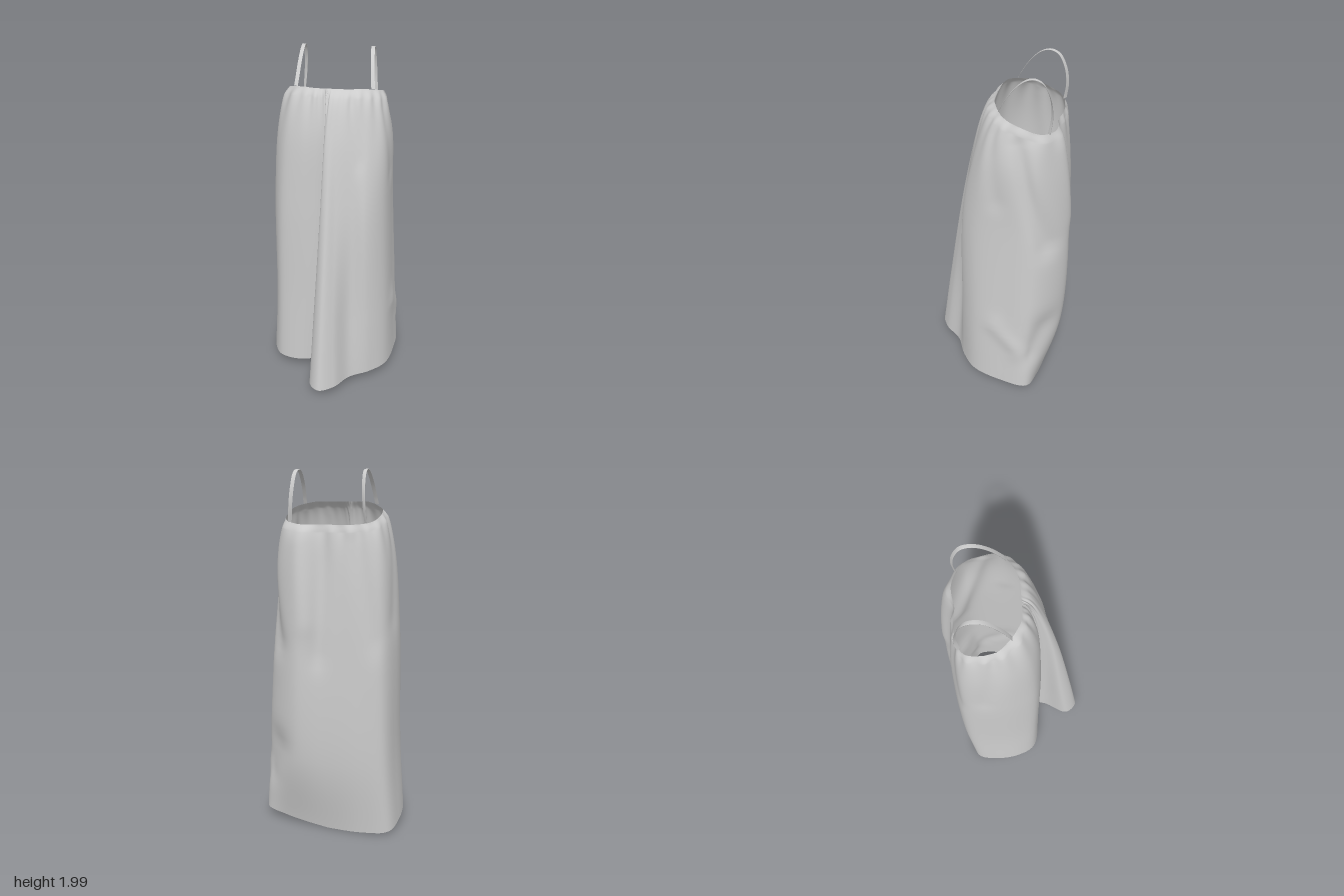
import * as THREE from 'three';

const COLS = 266, ROWS = 70;
const clamp = THREE.MathUtils.clamp, lerp = THREE.MathUtils.lerp;
const material = new THREE.MeshStandardMaterial({ color: 0xcccccc, side: THREE.DoubleSide });

// Cross-sections as x, z pairs: front pleat, left side, back, right side, front panel.
const neck = [-.04, .02, -.03, .02, -.015, .02, .005, .02, .04, .02, .1, .015, .18, -.02, .24, -.07, .26, -.15, .24, -.25,
  .15, -.308, 0, -.308, -.13, -.308, -.23, -.27, -.26, -.17, -.25, -.1, -.19, -.03, -.13, .01, -.08, .02];
const chest = [-.025, .08, -.03, .095, -.03, .12, -.005, .13, .03, .128, .1, .115, .2, .08, .285, .01, .315, -.13, .29, -.26,
  .15, -.37, 0, -.345, -.15, -.345, -.28, -.3, -.322, -.17, -.312, -.05, -.25, .045, -.16, .09, -.08, .095];
const waist = [-.025, .1, -.035, .15, -.045, .2, -.01, .225, .04, .205, .12, .175, .2, .168, .29, .075, .325, -.1, .31, -.27,
  .15, -.405, 0, -.38, -.17, -.362, -.3, -.32, -.35, -.18, -.342, -.03, -.285, .08, -.18, .118, -.09, .115];
const knee = [-.02, .085, -.025, .18, -.08, .285, -.03, .345, .04, .31, .12, .22, .23, .185, .325, .085, .36, -.09, .355, -.265,
  .18, -.39, 0, -.383, -.2, -.362, -.325, -.315, -.362, -.18, -.357, -.02, -.31, .09, -.19, .125, -.09, .115];
const hem = [-.015, .09, -.025, .19, -.1, .34, -.04, .41, .05, .365, .13, .26, .25, .185, .34, .09, .383, -.08, .382, -.25,
  .25, -.29, 0, -.31, -.2, -.32, -.35, -.29, -.388, -.17, -.38, -.01, -.325, .095, -.2, .13, -.09, .105];
// Rounded shoulder of the gathered edge, between neck and chest
const rim = neck.map((v, i) => lerp(v, chest[i], 0.4));
const levels = [[neck, 0], [rim, .024], [chest, .125], [waist, .36], [knee, .76], [hem, 1]];

// Soft folds: start (u, s), end (u, s), width, depth; u runs round, s runs down.
const folds = [
  [.43, .05, .49, .38, .018, -.022],
  [.575, .03, .57, .4, .016, -.012],
  [.53, .06, .545, .3, .02, .01],
  [.64, .05, .67, .35, .02, -.01],
  [.37, .05, .4, .25, .015, -.008],
  [.495, .74, .48, .84, .022, -.025],
  [.455, .84, .41, .76, .018, .012],
  [.75, .06, .73, .3, .02, -.008],
  [.27, .04, .29, .2, .015, -.008],
];

const neckY = z => 1.83 - 0.11 * clamp(-z / 0.31, 0, 1);
const hemY = (x, z) => lerp(0.083 + 0.04 * Math.max(z, 0), 0.01 + 0.1 * x * x + 0.11 * Math.max(x, 0), clamp(-z / 0.31, 0, 1));

// Skin over rows of points, each row a closed loop
function loft(rows) {
  const n = rows[0].length, index = [];
  for (let r = 0; r < rows.length - 1; r++) for (let c = 0; c < n; c++) {
    const a = r * n + c, d = r * n + (c + 1) % n;
    index.push(a, a + n, d, d, a + n, d + n);
  }
  const g = new THREE.BufferGeometry().setFromPoints(rows.flat());
  g.setIndex(index);
  g.computeVertexNormals();
  return g;
}

// Height of the gathers and folds at a point on the cloth
function relief(u, s) {
  const a = u * Math.PI * 2;
  const pleats = Math.sin(23 * a + 2 * Math.sin(3 * a)) + 0.7 * Math.sin(14 * a + 1.5 * Math.sin(5 * a) + 1);
  let h = 0.0075 * pleats * Math.exp(-s / 0.05) * Math.min(1, 0.1 + s / 0.025);
  for (const [u0, s0, u1, s1, w, depth] of folds) {
    const du = u1 - u0, ds = s1 - s0;
    const t = clamp(((u - u0) * du + (s - s0) * ds) / (du * du + ds * ds), 0, 1);
    const dx = (u - u0 - t * du) / w, dy = (s - s0 - t * ds) / (w * 2.5);
    h += depth * Math.exp(-dx * dx - dy * dy);
  }
  return h;
}

function makeDress() {
  const loops = levels.map(([p]) => {
    const pts = [];
    for (let i = 0; i < p.length; i += 2) pts.push(new THREE.Vector3(p[i], 0, p[i + 1]));
    return new THREE.CatmullRomCurve3(pts, true);
  });
  const rows = Array.from({ length: ROWS + 1 }, () => []), reliefs = [];
  for (let c = 0; c < COLS; c++) {
    const pts = loops.map(l => l.getPoint(c / COLS));
    const top = neckY(pts[0].z), low = hemY(pts[5].x, pts[5].z);
    pts.forEach((p, i) => { p.y = lerp(top, low, levels[i][1]); });
    const line = new THREE.CatmullRomCurve3(pts);
    for (let r = 0; r <= ROWS; r++) {
      const p = line.getPoint(r / ROWS);
      rows[r].push(p);
      reliefs[r * COLS + c] = relief(c / COLS, (top - p.y) / (top - low));
    }
  }
  // Push the cloth along its normals to form the folds
  const g = loft(rows), pos = g.attributes.position, nor = g.attributes.normal;
  for (let i = 0; i < pos.count; i++) {
    const h = reliefs[i];
    pos.setXYZ(i, pos.getX(i) + nor.getX(i) * h, pos.getY(i) + nor.getY(i) * h * 0.3, pos.getZ(i) + nor.getZ(i) * h);
  }
  g.computeVertexNormals();
  const mesh = new THREE.Mesh(g, material);
  mesh.name = 'dress';
  return mesh;
}

// Thin ribbon arching from the front edge to the back edge, twisting slightly
function makeStrap(side) {
  const path = new THREE.CatmullRomCurve3([
    [.205, 1.82, -.035], [.2, 1.86, -.055], [.193, 1.935, -.105], [.188, 1.985, -.16], [.187, 1.998, -.205],
    [.188, 1.98, -.25], [.191, 1.91, -.287], [.197, 1.82, -.3], [.204, 1.73, -.29],
  ].map(([x, y, z]) => new THREE.Vector3(x * side, y, z)));
  const rows = [];
  for (let i = 0; i <= 48; i++) {
    const t = i / 48, p = path.getPoint(t), a = 0.8 * t * t;
    const w = new THREE.Vector3(Math.cos(a), 0, -side * Math.sin(a)).multiplyScalar(0.01);
    const n = new THREE.Vector3().crossVectors(path.getTangent(t), w).setLength(0.001);
    rows.push([[1, 1], [-1, 1], [-1, -1], [1, -1]].map(([j, k]) =>
      p.clone().addScaledVector(w, j).addScaledVector(n, k)));
  }
  const mesh = new THREE.Mesh(loft(rows), material);
  mesh.name = side > 0 ? 'leftStrap' : 'rightStrap';
  return mesh;
}

export function createModel() {
  const group = new THREE.Group();
  group.name = 'strappedDress';
  group.add(makeDress(), makeStrap(1), makeStrap(-1));
  return group;
}
